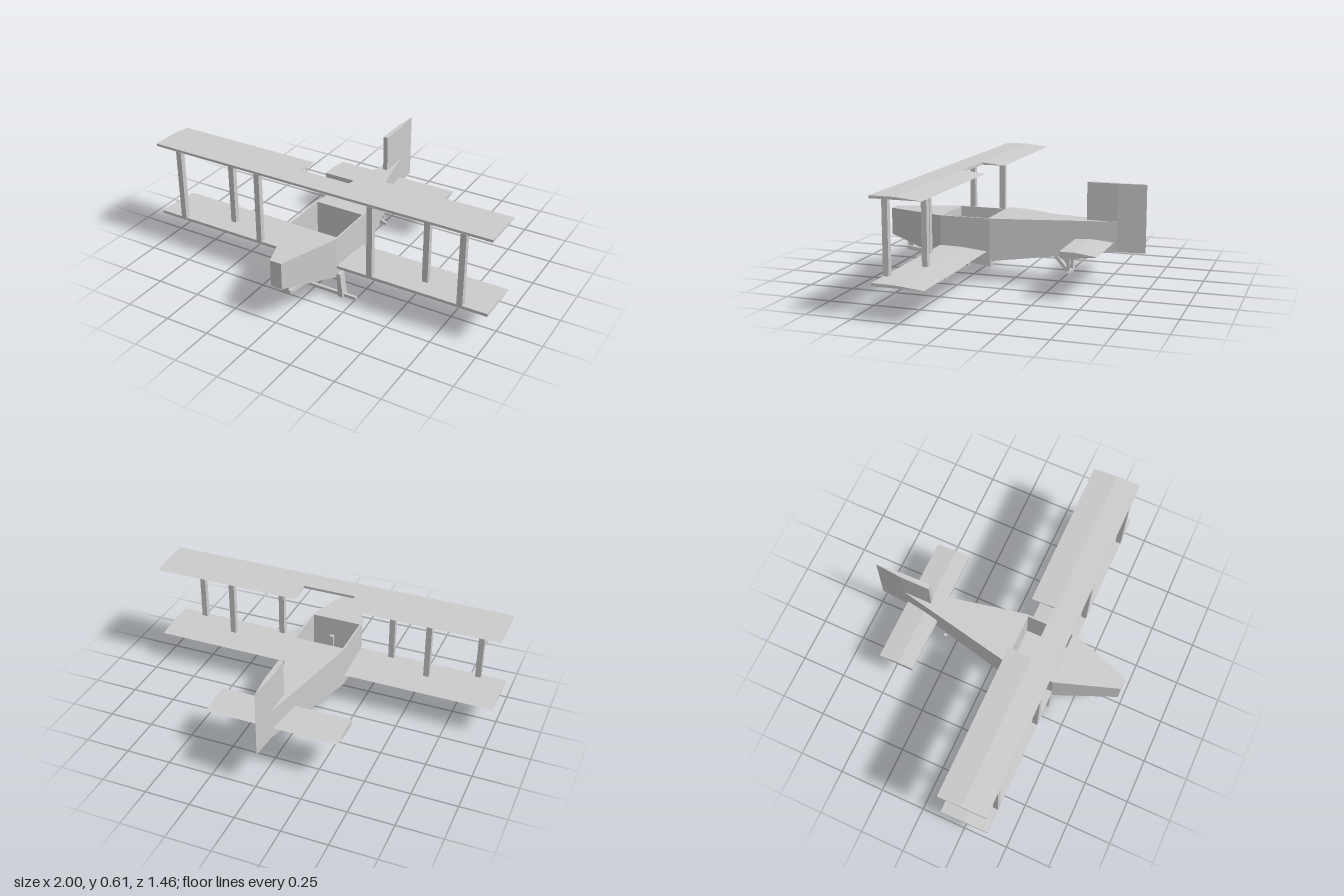
import * as THREE from 'three';

const mat = new THREE.MeshStandardMaterial({ color: 0xcccccc, flatShading: true, side: THREE.DoubleSide });

function add(group, name, geo) {
  const m = new THREE.Mesh(geo, mat);
  m.name = name;
  group.add(m);
  return m;
}

// Box given by its min/max on each axis
function box(group, name, x0, x1, y0, y1, z0, z1) {
  const g = new THREE.BoxGeometry(x1 - x0, y1 - y0, z1 - z0);
  g.translate((x0 + x1) / 2, (y0 + y1) / 2, (z0 + z1) / 2);
  return add(group, name, g);
}

// Side profile of [z, y] points extruded across from x0 to x1
function span(group, name, profile, x0, x1) {
  const shape = new THREE.Shape(profile.map(([z, y]) => new THREE.Vector2(z, y)));
  const g = new THREE.ExtrudeGeometry(shape, { depth: x1 - x0, bevelEnabled: false });
  g.rotateY(-Math.PI / 2);
  g.translate(x1, 0, 0);
  return add(group, name, g);
}

// Flat quads, corners counter-clockwise from outside
function quads(list) {
  const pos = [];
  for (const [a, b, c, d] of list) pos.push(...a, ...b, ...c, ...a, ...c, ...d);
  const g = new THREE.BufferGeometry();
  g.setAttribute('position', new THREE.Float32BufferAttribute(pos, 3));
  g.computeVertexNormals();
  return g;
}

// Rectangular ring at z: top right, top left, bottom left, bottom right
const ring = (z, w, y0, y1) => [[w, y1, z], [-w, y1, z], [-w, y0, z], [w, y0, z]];

function fuselageGeometry() {
  const top = 0.355;
  const rings = [
    ring(0.73, 0.033, 0.205, top),
    ring(0.385, 0.15, 0.12, top),
    ring(0.1, 0.15, 0.12, top),
    ring(-0.57, 0.013, 0.19, top),
  ];
  const list = [rings[0], [...rings[3]].reverse()];
  for (let i = 0; i < 3; i++) {
    const f = rings[i], b = rings[i + 1];
    for (let k = 0; k < 4; k++) {
      if (i === 1 && k === 0) continue; // cockpit opening
      const n = (k + 1) % 4;
      list.push([f[k], b[k], b[n], f[n]]);
    }
  }
  // Cockpit rim, inner walls and floor
  const loop = (w, y, z0, z1) => [[-w, y, z1], [w, y, z1], [w, y, z0], [-w, y, z0]];
  const outer = loop(0.15, top, 0.1, 0.385);
  const inner = loop(0.14, top, 0.11, 0.375);
  const floor = loop(0.14, 0.13, 0.11, 0.375);
  for (let k = 0; k < 4; k++) {
    const n = (k + 1) % 4;
    list.push([outer[k], outer[n], inner[n], inner[k]]);
    list.push([inner[k], inner[n], floor[n], floor[k]]);
  }
  list.push(floor);
  return quads(list);
}

export function createModel() {
  const model = new THREE.Group();

  add(model, 'fuselage', fuselageGeometry());
  box(model, 'controlStick', -0.011, 0.011, 0.13, 0.29, 0.29, 0.312);

  // Tail fin: plan outline raised upward
  const plan = new THREE.Shape([[-0.013, 0.405], [0.013, 0.405], [0.013, 0.57], [0, 0.725], [-0.013, 0.57]]
    .map(([x, y]) => new THREE.Vector2(x, y)));
  const fin = new THREE.ExtrudeGeometry(plan, { depth: 0.37, bevelEnabled: false });
  fin.rotateX(-Math.PI / 2);
  fin.translate(0, 0.19, 0);
  add(model, 'tailFin', fin);

  // Wings and tailplane
  const upper = [[0.388, 0.598], [0.388, 0.612], [0.255, 0.612], [0.12, 0.598]];
  const lower = [[0.388, 0.173], [0.388, 0.19], [0.255, 0.187], [0.115, 0.173]];
  const wings = new THREE.Group();
  wings.name = 'wings';
  model.add(wings);
  span(wings, 'upperWingCentre', [[0.388, 0.598], [0.388, 0.612], [0.25, 0.612], [0.25, 0.598]], -0.15, 0.15);
  for (const s of [-1, 1]) {
    const pair = (a, b) => (s > 0 ? [a, b] : [-b, -a]);
    span(wings, 'upperWing', upper, ...pair(0.15, 1));
    span(wings, 'lowerWing', lower, ...pair(0.145, 1));
  }
  span(model, 'tailplane', [[-0.355, 0.225], [-0.355, 0.257], [-0.44, 0.257], [-0.555, 0.241], [-0.44, 0.225]], -0.37, 0.37);

  // Wing struts, the middle one of each side set further back
  for (const [x, z] of [[-0.85, 0.375], [-0.58, 0.275], [-0.34, 0.375], [0.34, 0.375], [0.61, 0.275], [0.85, 0.375]]) {
    box(wings, 'wingStrut', x - 0.016, x + 0.016, 0.18, 0.6, z - 0.015, z + 0.015);
  }

  // Landing gear: flared legs, cross bar and central skid
  const gear = new THREE.Group();
  gear.name = 'landingGear';
  model.add(gear);
  for (const s of [-1, 1]) {
    const leg = new THREE.Shape([[0.155, 0.003], [0.185, 0.003], [0.168, 0.14], [0.146, 0.14]]
      .map(([x, y]) => new THREE.Vector2(s * x, y)));
    const g = new THREE.ExtrudeGeometry(leg, { depth: 0.045, bevelEnabled: false });
    g.translate(0, 0, 0.345);
    add(gear, 'landingLeg', g);
  }
  box(gear, 'crossBar', -0.255, 0.255, 0, 0.017, 0.358, 0.375);
  span(gear, 'skid', [[0.643, 0.12], [0.643, 0.14], [0.14, 0.086], [0.14, 0.055]], -0.025, 0.025);
  box(gear, 'skidPost', -0.013, 0.013, 0.125, 0.19, 0.613, 0.643);
  box(gear, 'skidPost', -0.013, 0.013, 0.09, 0.125, 0.355, 0.38);

  // Tail skid: two braced posts on a cross bar
  const tail = new THREE.Group();
  tail.name = 'tailSkid';
  model.add(tail);
  for (const x of [-0.04, 0.04]) {
    box(tail, 'tailSkidPost', x - 0.008, x + 0.008, 0.06, 0.17, -0.32, -0.305);
    span(tail, 'tailSkidBrace', [[-0.225, 0.157], [-0.245, 0.16], [-0.32, 0.075], [-0.312, 0.057]], x - 0.008, x + 0.008);
  }
  box(tail, 'tailSkidBar', -0.065, 0.065, 0.055, 0.07, -0.32, -0.305);

  return model;
}
